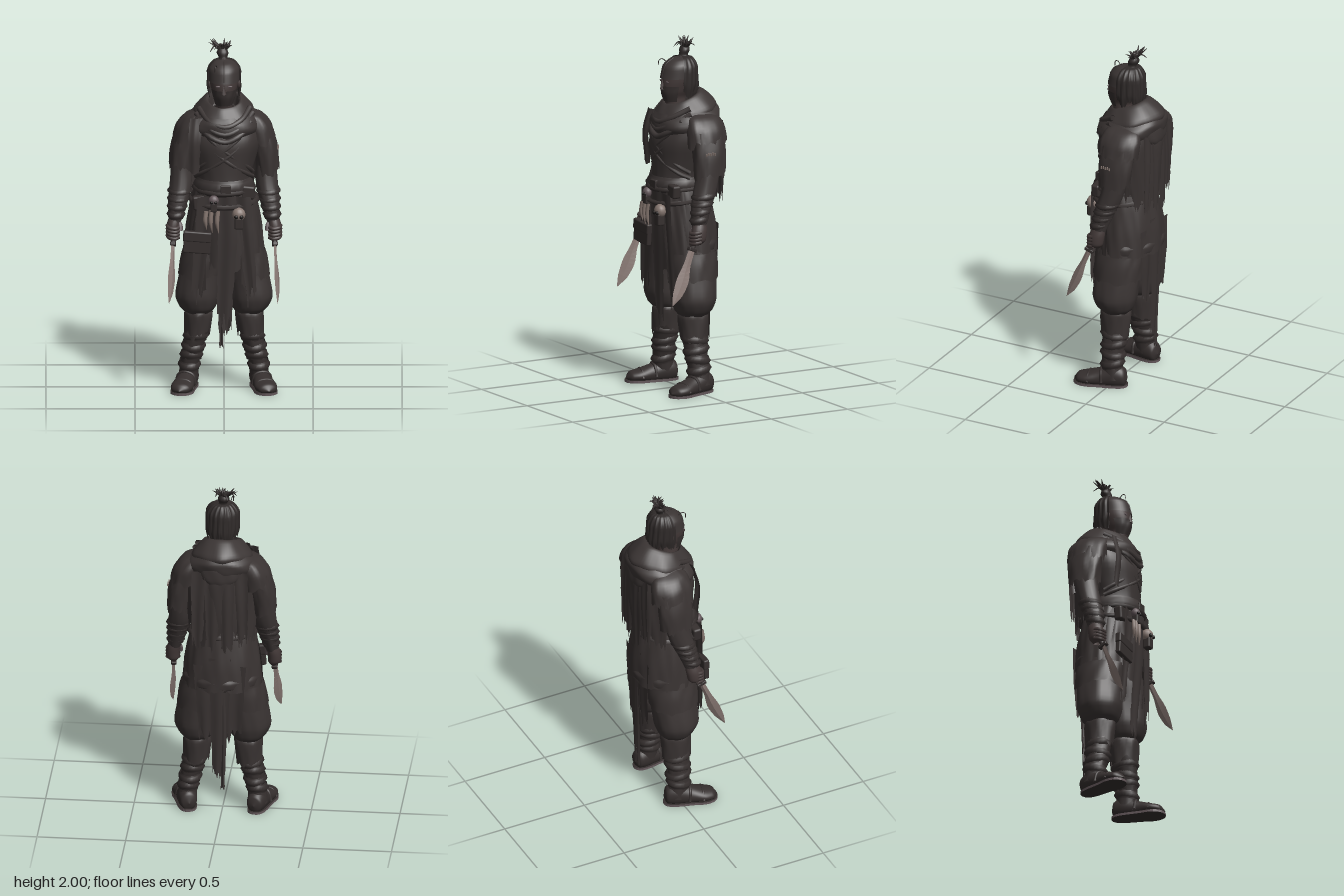
import * as THREE from 'three';
import { RoundedBoxGeometry } from 'three/addons/geometries/RoundedBoxGeometry.js';

const mat = (name, color) => Object.assign(new THREE.MeshStandardMaterial({ color, side: THREE.DoubleSide }), { name });
const hash = (i, s) => { const v = Math.sin(i * 12.9898 + s * 78.233) * 43758.5453; return v - Math.floor(v); };
const V = (x, y, z) => new THREE.Vector3(x, y, z);

// Grid of points -> indexed surface; at(u, v, column) gives a position
function grid(rows, cols, closed, at) {
  const pos = [], idx = [], w = closed ? cols : cols + 1;
  for (let i = 0; i <= rows; i++) for (let j = 0; j < w; j++) pos.push(...at(j / cols, i / rows, j));
  for (let i = 0; i < rows; i++) for (let j = 0; j < cols; j++) {
    const a = i * w + j, c = i * w + (j + 1) % w, b = a + w, d = c + w;
    idx.push(a, b, c, c, b, d);
  }
  const g = new THREE.BufferGeometry();
  g.setAttribute('position', new THREE.Float32BufferAttribute(pos, 3));
  g.setIndex(idx);
  g.computeVertexNormals();
  return g;
}

// Smooth skin over elliptical rings [y, cx, cz, rx, rz], top to bottom, with folds, tilt and torn hem;
// sq below 1 squares the section
function loft(rings, { n = 40, a0 = 0, a1 = Math.PI * 2, sub = 4, fold = 0, freq = 9, jag = 0, tilt = 0, seed = 1, sq = 1 } = {}) {
  const centre = new THREE.CatmullRomCurve3(rings.map(r => V(r[1], r[0], r[2])));
  const radius = new THREE.CatmullRomCurve3(rings.map(r => V(r[3], r[4], 0)));
  const bend = t => Math.sign(t) * Math.abs(t) ** sq;
  return grid((rings.length - 1) * sub, n, a1 - a0 > 6.28, (u, v, j) => {
    const a = a0 + u * (a1 - a0), c = centre.getPoint(v), r = radius.getPoint(v);
    const f = 1 + fold * (Math.sin(freq * a + seed + v * 4) + 0.5 * Math.sin(2 * freq * a - v * 7));
    const tear = 0.6 * hash(Math.floor(j / 4), seed) + 0.4 * hash(j, seed + 1);
    return [c.x + Math.max(0.001, r.x) * f * bend(Math.sin(a)),
      c.y - tilt * Math.cos(a) - jag * tear * v ** 3,
      c.z + Math.max(0.001, r.y) * f * bend(Math.cos(a))];
  });
}

// Hanging torn ribbon along a path, wide in x
function ribbon(points, w0, w1, jag, seed) {
  const path = new THREE.CatmullRomCurve3(points.map(p => V(...p)));
  return grid(14, 8, false, (u, v, j) => {
    const p = path.getPoint(v), w = w0 + (w1 - w0) * v + 0.012 * (hash(Math.round(v * 14), seed) - 0.5);
    return [p.x + w * (u - 0.5), p.y - jag * hash(j, seed) * v ** 4, p.z + 0.005 * Math.sin(u * 7 + seed)];
  });
}

export function createModel() {
  const root = new THREE.Group();
  root.name = 'wanderingFighter';
  const cloth = mat('dark cloth', 0x3b3534), coat = mat('coat cloth', 0x393332), leather = mat('leather', 0x352f2e);
  const hair = mat('hair', 0x2f2a29), skin = mat('weathered skin', 0x433938), steel = mat('dull steel', 0x8a7a75);
  const bone = mat('old bone', 0x85766f), black = mat('black', 0x1c1918), worn = mat('worn edge', 0x63575a);

  const add = (name, geo, m, parent = root) => {
    const mesh = new THREE.Mesh(geo, m);
    mesh.name = name;
    parent.add(mesh);
    return mesh;
  };
  const tube = (name, pts, r, m, parent) =>
    add(name, new THREE.TubeGeometry(new THREE.CatmullRomCurve3(pts.map(p => V(...p))), 20, r, 8), m, parent);
  const band = (name, y, cx, cz, rx, rz, h, m, tilt = 0) => add(name, loft(
    [[y + h, cx, cz, rx * 0.96, rz * 0.96], [y + h * 0.6, cx, cz, rx, rz], [y - h * 0.6, cx, cz, rx, rz], [y - h, cx, cz, rx * 0.96, rz * 0.96]],
    { n: 24, sub: 2, tilt, fold: 0.01 }), m);
  const box = (name, w, h, d, x, y, z, m, rz = 0) => {
    const b = add(name, new RoundedBoxGeometry(w, h, d, 2, Math.min(w, h, d) * 0.25), m);
    b.position.set(x, y, z);
    b.rotation.z = rz;
  };

  // Head, cap, mask and face
  add('head', loft([[1.895, 0, 0.005, 0.001, 0.001], [1.88, 0, 0.005, 0.05, 0.055], [1.84, 0, 0.01, 0.084, 0.09],
    [1.77, 0, 0.015, 0.08, 0.096], [1.71, 0, 0.03, 0.064, 0.082], [1.66, 0, 0.035, 0.046, 0.062], [1.55, 0, 0, 0.055, 0.06]]), skin);
  add('skullCap', loft([[1.9, 0, 0.005, 0.001, 0.001], [1.888, 0, 0.005, 0.052, 0.058], [1.85, 0, 0.01, 0.085, 0.093],
    [1.785, 0, 0.016, 0.088, 0.103]], { tilt: 0.004 }), cloth);
  tube('capSeam', [[0, 1.893, 0.04], [0, 1.865, 0.088], [0, 1.83, 0.108], [0, 1.79, 0.119]], 0.003, leather);
  add('faceMask', loft([[1.74, 0, 0.02, 0.074, 0.1], [1.7, 0, 0.028, 0.066, 0.09], [1.65, 0, 0.032, 0.05, 0.068]],
    { a0: -1.3, a1: 1.3, n: 20, fold: 0.015 }), leather);
  const nose = add('nose', new THREE.ConeGeometry(0.015, 0.055, 6), skin);
  nose.position.set(0, 1.75, 0.116);
  for (const s of [-1, 1]) {
    const eye = add('eye', new THREE.SphereGeometry(0.012, 10, 6), worn);
    eye.scale.set(1.3, 0.5, 0.4);
    eye.position.set(s * 0.032, 1.765, 0.104);
    const ear = add('ear', new THREE.SphereGeometry(0.02, 10, 8), skin);
    ear.scale.set(0.5, 1.3, 0.9);
    ear.position.set(s * 0.082, 1.76, 0.01);
  }

  // Hair falling around the back, with a tied topknot
  add('backHair', loft([[1.902, 0, -0.01, 0.01, 0.02], [1.892, 0, -0.005, 0.06, 0.068], [1.84, 0, 0, 0.094, 0.1], [1.76, 0, 0, 0.094, 0.104], [1.72, 0, 0, 0.082, 0.096]],
    { a0: 1.3, a1: 4.98, n: 72, fold: 0.03, freq: 19, jag: 0.07, seed: 4 }), hair);
  tube('looseStrand', [[-0.04, 1.87, 0.07], [-0.045, 1.885, 0.09], [-0.05, 1.877, 0.108], [-0.05, 1.85, 0.11]], 0.0025, hair);
  add('topknot', loft([[1.955, -0.008, -0.035, 0.02, 0.02], [1.93, -0.008, -0.033, 0.032, 0.03], [1.905, -0.005, -0.025, 0.024, 0.024], [1.88, 0, -0.02, 0.034, 0.034]],
    { n: 20, fold: 0.06 }), hair);
  for (let i = 0; i < 22; i++) {
    const a = i * 2.4, r = 0.025 + 0.04 * hash(i, 2), top = Math.min(1.999, 1.935 + 0.075 * hash(i, 5));
    const x = -0.022 + Math.sin(a) * r * 1.3, z = -0.045 + Math.cos(a) * r * 0.9;
    add('knotStrand', loft([[top, x, z, 0.001, 0.001], [1.97, x * 0.65, -0.02 + z * 0.5, 0.008, 0.007], [1.93, -0.008, -0.03, 0.01, 0.01]], { n: 5, sub: 3 }), hair);
  }

  // Cowl in overlapping folds, with a hood lying on the back
  add('cowlUpper', loft([[1.6, 0, 0, 0.075, 0.08], [1.665, 0, -0.005, 0.085, 0.092], [1.675, 0, -0.012, 0.1, 0.106], [1.64, 0, -0.025, 0.138, 0.148], [1.59, 0, -0.033, 0.17, 0.18], [1.545, 0, -0.03, 0.155, 0.165]],
    { tilt: 0.037, fold: 0.02, freq: 5, n: 56 }), cloth);
  add('cowlLower', loft([[1.61, 0, -0.03, 0.155, 0.165], [1.57, 0, -0.032, 0.195, 0.19], [1.53, 0, -0.028, 0.215, 0.188], [1.485, 0, -0.03, 0.195, 0.17]],
    { tilt: 0.025, fold: 0.018, freq: 4, seed: 3, n: 56 }), cloth);
  add('hood', loft([[1.62, 0, -0.1, 0.12, 0.08], [1.57, 0, -0.1, 0.165, 0.112], [1.5, 0, -0.1, 0.15, 0.117], [1.44, 0, -0.1, 0.06, 0.1]],
    { a0: 1.7, a1: 4.58, fold: 0.02, freq: 6 }), cloth);
  for (let i = 0; i < 3; i++)
    tube('cowlFold', [[-0.14 - i * 0.015, 1.62 - i * 0.03, 0.02], [-0.08, 1.565 - i * 0.04, 0.118 + i * 0.01], [0.01, 1.54 - i * 0.042, 0.146 + i * 0.004], [0.09, 1.57 - i * 0.04, 0.115 + i * 0.01], [0.145 + i * 0.015, 1.625 - i * 0.03, 0.02]], 0.016, cloth);
  add('scarfEnd', ribbon([[-0.155, 1.58, 0.1], [-0.165, 1.45, 0.132], [-0.168, 1.31, 0.118]], 0.07, 0.06, 0.05, 17), cloth);

  // Torso with crossed wraps
  add('torso', loft([[1.6, 0, -0.03, 0.1, 0.1], [1.54, 0, -0.03, 0.2, 0.15], [1.44, 0, -0.01, 0.208, 0.168], [1.32, 0, -0.005, 0.175, 0.162], [1.22, 0, 0.01, 0.148, 0.147], [1.12, 0, 0.01, 0.16, 0.15]],
    { fold: 0.01, freq: 7, n: 56 }), cloth);
  for (const s of [-1, 1]) for (const k of [0, 1])
    tube('chestWrap', [[-s * 0.15, 1.56 - k * 0.06, 0.078], [-s * 0.07, 1.46 - k * 0.05, 0.138], [s * 0.03, 1.38 - k * 0.05, 0.148], [s * 0.13, 1.3 - k * 0.04, 0.09], [s * 0.16, 1.26 - k * 0.03, 0.03]], 0.012, cloth);

  // Back cape with broad torn panels
  add('backCape', loft([[1.56, 0, -0.03, 0.19, 0.17], [1.45, 0, -0.03, 0.215, 0.18], [1.3, 0, -0.03, 0.205, 0.175], [1.2, 0, -0.03, 0.19, 0.17]],
    { a0: 1.85, a1: 4.43, n: 60, fold: 0.022, freq: 8, jag: 0.16, seed: 7 }), coat);
  for (let i = 0; i < 4; i++) {
    const x = -0.12 + i * 0.08, z = -0.203 + 1.4 * x * x, low = 1.09 + 0.1 * hash(i, 9);
    add('capePanel', ribbon([[x * 0.9, 1.54, z], [x, 1.35, z - 0.006], [x * 1.05, low, z]], 0.1, 0.06, 0.09, i), coat);
  }

  // Coat skirt with rolled rear hem, long side panels, hanging cloths
  add('coatSkirt', loft([[1.2, 0, 0.01, 0.152, 0.147], [1.1, 0, 0, 0.185, 0.163], [0.95, 0, -0.012, 0.212, 0.18], [0.82, 0, -0.02, 0.225, 0.182]],
    { a0: 0.5, a1: 5.78, n: 80, fold: 0.016, freq: 9, jag: 0.04, seed: 2 }), coat);
  add('rearHem', loft([[0.87, 0, -0.015, 0.215, 0.178], [0.845, 0, -0.015, 0.224, 0.187], [0.815, 0, -0.015, 0.222, 0.185], [0.8, 0, -0.015, 0.212, 0.176]],
    { a0: 1.7, a1: 4.58, fold: 0.008 }), coat);
  add('innerSkirt', loft([[1.14, 0, 0.01, 0.155, 0.15], [0.98, 0, 0, 0.172, 0.155], [0.78, 0, -0.005, 0.178, 0.148]],
    { n: 60, fold: 0.025, freq: 8, jag: 0.1, seed: 6 }), cloth);
  for (const s of [-1, 1]) {
    const mid = s * 0.95;
    add('sidePanel', loft([[1.16, 0, 0.01, 0.165, 0.16], [0.95, 0, 0, 0.21, 0.17], [0.78, 0, 0, 0.228, 0.165], [0.68, 0, 0, 0.228, 0.155]],
      { a0: mid - 0.5, a1: mid + 0.5, n: 24, fold: 0.02, freq: 12, jag: 0.14, seed: 12 + s }), coat);
    add('frontPanel', ribbon([[s * 0.095, 1.14, 0.158], [s * 0.125, 0.9, 0.155], [s * 0.155, 0.62, 0.142]], 0.11, 0.06, 0.16, 21 + s), coat);
    add('rearStrip', ribbon([[s * 0.08, 0.95, -0.165], [s * 0.08, 0.75, -0.168], [s * 0.08, 0.56, -0.155]], 0.14, 0.08, 0.1, 31 + s), coat);
  }
  add('frontCloth', ribbon([[0.01, 1.15, 0.17], [0.02, 0.9, 0.163], [0.01, 0.68, 0.148], [0.0, 0.48, 0.135]], 0.12, 0.08, 0.12, 41), cloth);
  add('backTail', ribbon([[0, 1.0, -0.18], [0, 0.75, -0.183], [0.005, 0.5, -0.178], [0.015, 0.34, -0.17]], 0.13, 0.06, 0.1, 51), coat);
  add('longTail', ribbon([[-0.01, 0.9, -0.176], [-0.02, 0.6, -0.178], [-0.015, 0.2, -0.168]], 0.07, 0.02, 0.03, 52), coat);

  // Belts, buckle, pouches
  band('sash', 1.185, 0, 0.012, 0.158, 0.16, 0.045, cloth);
  band('belt', 1.165, 0, 0.012, 0.166, 0.17, 0.018, leather, 0.005);
  band('slungBelt', 1.1, 0, 0.005, 0.188, 0.178, 0.014, leather, 0.02);
  box('buckle', 0.06, 0.05, 0.02, 0.01, 1.185, 0.177, leather);
  box('pouch', 0.07, 0.08, 0.05, -0.14, 1.1, 0.125, leather, 0.1);
  box('pouch', 0.075, 0.075, 0.05, 0.135, 1.16, 0.12, leather, -0.1);
  box('satchel', 0.155, 0.12, 0.03, -0.15, 0.875, 0.155, leather, -0.08);
  box('satchelFlap', 0.16, 0.06, 0.036, -0.15, 0.91, 0.155, leather, -0.08);

  // Trophies: two small skulls and hanging fangs
  for (const [x, y, z, k, m] of [[-0.058, 1.125, 0.18, 0.85, worn], [0.083, 1.045, 0.18, 1.1, bone]]) {
    const skull = new THREE.Group();
    skull.name = 'beltSkull';
    root.add(skull);
    add('cranium', new THREE.SphereGeometry(0.034, 16, 12), m, skull).scale.set(1, 1.05, 0.9);
    add('jaw', new RoundedBoxGeometry(0.044, 0.06, 0.04, 2, 0.008), leather, skull).position.set(0, -0.045, 0.004);
    for (const s of [-1, 1])
      add('socket', new THREE.SphereGeometry(0.011, 8, 6), black, skull).position.set(s * 0.013, -0.008, 0.026);
    skull.position.set(x, y, z);
    skull.scale.setScalar(k);
  }
  [[-0.1, 1.065, 0.11], [-0.07, 1.07, 0.13], [-0.034, 1.065, 0.13]].forEach(([x, y, len]) =>
    add('fang', loft([[y, x, 0.188, 0.013, 0.01], [y - len / 2, x - 0.005, 0.193, 0.012, 0.01], [y - len, x + 0.004, 0.186, 0.001, 0.001]], { n: 8 }), bone));

  // Stitches on the left sleeve
  for (let i = 0; i < 5; i++) box('stitch', 0.008, 0.016, 0.006, 0.306 - 0.001 * i, 1.385 + 0.004 * (i % 2), -0.045 + i * 0.013, bone);

  for (const s of [-1, 1]) {
    // Ragged layered sleeve, arm, wraps
    add('shoulderMantle', loft([[1.6, s * 0.12, -0.04, 0.03, 0.05], [1.57, s * 0.155, -0.05, 0.066, 0.1], [1.52, s * 0.185, -0.052, 0.082, 0.117], [1.47, s * 0.203, -0.05, 0.084, 0.117]],
      { fold: 0.03, freq: 5, jag: 0.07, seed: 8 + s, sq: 0.85 }), coat);
    add('sleeve', loft([[1.5, s * 0.21, -0.052, 0.058, 0.095], [1.39, s * 0.234, -0.05, 0.066, 0.098], [1.31, s * 0.246, -0.045, 0.064, 0.09]],
      { fold: 0.035, freq: 5, jag: 0.09, seed: 15 + s, sq: 0.85 }), coat);
    add('arm', loft([[1.45, s * 0.215, -0.05, 0.05, 0.065], [1.3, s * 0.235, -0.045, 0.058, 0.067], [1.18, s * 0.242, -0.02, 0.062, 0.066], [1.08, s * 0.258, 0.015, 0.055, 0.058], [0.97, s * 0.276, 0.04, 0.034, 0.04]],
      { fold: 0.02, freq: 5 }), cloth);
    for (let i = 0; i < 4; i++)
      band('armWrap', 1.14 - i * 0.042, s * (0.25 + i * 0.0065), -0.005 + i * 0.014, 0.06 - i * 0.005, 0.063 - i * 0.005, 0.021, leather, 0.008);
    // Hand and fingers around the grip
    add('hand', loft([[1.0, s * 0.275, 0.035, 0.032, 0.038], [0.95, s * 0.285, 0.045, 0.038, 0.046], [0.9, s * 0.287, 0.052, 0.038, 0.044], [0.872, s * 0.28, 0.055, 0.015, 0.025]], { n: 20 }), skin);
    for (let i = 0; i < 4; i++)
      tube('finger', [[s * 0.318, 0.95 - i * 0.019, 0.05], [s * 0.308, 0.943 - i * 0.019, 0.085], [s * 0.275, 0.939 - i * 0.019, 0.094], [s * 0.254, 0.943 - i * 0.019, 0.075]], 0.011, skin);
    tube('thumb', [[s * 0.262, 0.975, 0.045], [s * 0.246, 0.955, 0.062], [s * 0.244, 0.925, 0.075]], 0.013, worn);

    // Leaf-bladed knife, both blades turned the same way
    const knife = new THREE.Group();
    knife.name = 'knife';
    knife.position.set(s * 0.282, 0.915, 0.065);
    knife.rotation.set(-0.4, s * 0.1, s * 0.055);
    root.add(knife);
    add('grip', new THREE.CylinderGeometry(0.013, 0.015, 0.13, 10), leather, knife);
    add('pommel', new THREE.SphereGeometry(0.018, 10, 8), leather, knife).position.y = 0.07;
    add('guard', new RoundedBoxGeometry(0.03, 0.02, 0.055, 2, 0.005), leather, knife).position.y = -0.07;
    const blade = loft([[-0.07, 0, 0, 0.007, 0.017], [-0.16, 0, 0, 0.007, 0.02], [-0.26, 0, -0.003, 0.007, 0.035], [-0.34, 0, 0, 0.005, 0.027], [-0.41, 0, 0.008, 0.001, 0.001]], { n: 4 }).toNonIndexed();
    blade.rotateY(-0.5);
    blade.computeVertexNormals();
    add('blade', blade, steel, knife);

    // Baggy trousers, shins and boot wraps
    add('trouserLeg', loft([[1.0, s * 0.08, -0.01, 0.09, 0.12], [0.82, s * 0.108, -0.012, 0.112, 0.138], [0.66, s * 0.135, -0.008, 0.118, 0.132], [0.54, s * 0.15, 0, 0.122, 0.128], [0.47, s * 0.147, 0, 0.1, 0.106], [0.43, s * 0.143, 0, 0.066, 0.072]],
      { fold: 0.02, freq: 6, n: 48 }), cloth);
    add('thighWrap', loft([[0.8, s * 0.115, -0.01, 0.116, 0.142], [0.74, s * 0.125, -0.01, 0.122, 0.144], [0.68, s * 0.135, -0.008, 0.124, 0.141]], { fold: 0.015, jag: 0.05, seed: 61 + s }), coat);
    add('shin', loft([[0.48, s * 0.142, 0, 0.07, 0.075], [0.36, s * 0.148, 0.0, 0.066, 0.072], [0.24, s * 0.173, 0, 0.058, 0.066], [0.14, s * 0.193, -0.005, 0.052, 0.06], [0.05, s * 0.2, -0.015, 0.056, 0.062]], { fold: 0.02, freq: 5 }), leather);
    add('kneeCuff', loft([[0.46, s * 0.143, 0, 0.07, 0.076], [0.43, s * 0.143, 0, 0.08, 0.089], [0.35, s * 0.15, 0, 0.073, 0.08]], { fold: 0.03, freq: 5, jag: 0.08, seed: 70 + s }), coat);
    for (let i = 0; i < 4; i++)
      band('shinWrap', 0.3 - i * 0.055, s * (0.16 + i * 0.0115), -0.002 * i, 0.064 - i * 0.0025, 0.072 - i * 0.0025, 0.027, leather, i % 2 ? 0.012 : -0.008);

    // Turned-out boot and sole
    const foot = new THREE.Group();
    foot.name = 'boot';
    foot.position.set(s * 0.197, 0, -0.025);
    foot.rotation.y = s * 0.24;
    root.add(foot);
    const shoe = loft([[0.07, 0, 0.05, 0.001, 0.001], [0.055, 0, 0.055, 0.042, 0.05], [0, 0, 0.06, 0.055, 0.07], [-0.08, 0, 0.045, 0.055, 0.055], [-0.16, 0, 0.035, 0.064, 0.038], [-0.21, 0, 0.03, 0.05, 0.03], [-0.238, 0, 0.024, 0.001, 0.001]]);
    shoe.rotateX(-Math.PI / 2);
    const p = shoe.attributes.position;
    for (let i = 0; i < p.count; i++) p.setY(i, Math.max(0.012, p.getY(i)));
    shoe.computeVertexNormals();
    add('shoe', shoe, leather, foot);
    const outline = new THREE.Shape();
    outline.moveTo(0, -0.072);
    outline.bezierCurveTo(0.075, -0.07, 0.045, 0.05, 0.066, 0.15);
    outline.bezierCurveTo(0.07, 0.27, -0.07, 0.27, -0.066, 0.15);
    outline.bezierCurveTo(-0.045, 0.05, -0.075, -0.07, 0, -0.072);
    const sole = new THREE.ExtrudeGeometry(outline, { depth: 0.014, bevelEnabled: false, curveSegments: 10 });
    sole.rotateX(Math.PI / 2).translate(0, 0.014, 0);
    add('sole', sole, [leather, worn], foot);
    tube('bootStrap', [[-0.056, 0.03, 0.07], [-0.04, 0.085, 0.075], [0, 0.1, 0.08], [0.04, 0.085, 0.075], [0.056, 0.03, 0.07]], 0.009, leather, foot);
    tube('toeStrap', [[-0.062, 0.025, 0.15], [-0.035, 0.065, 0.15], [0.035, 0.065, 0.15], [0.062, 0.025, 0.15]], 0.008, leather, foot);
  }
  return root;
}
